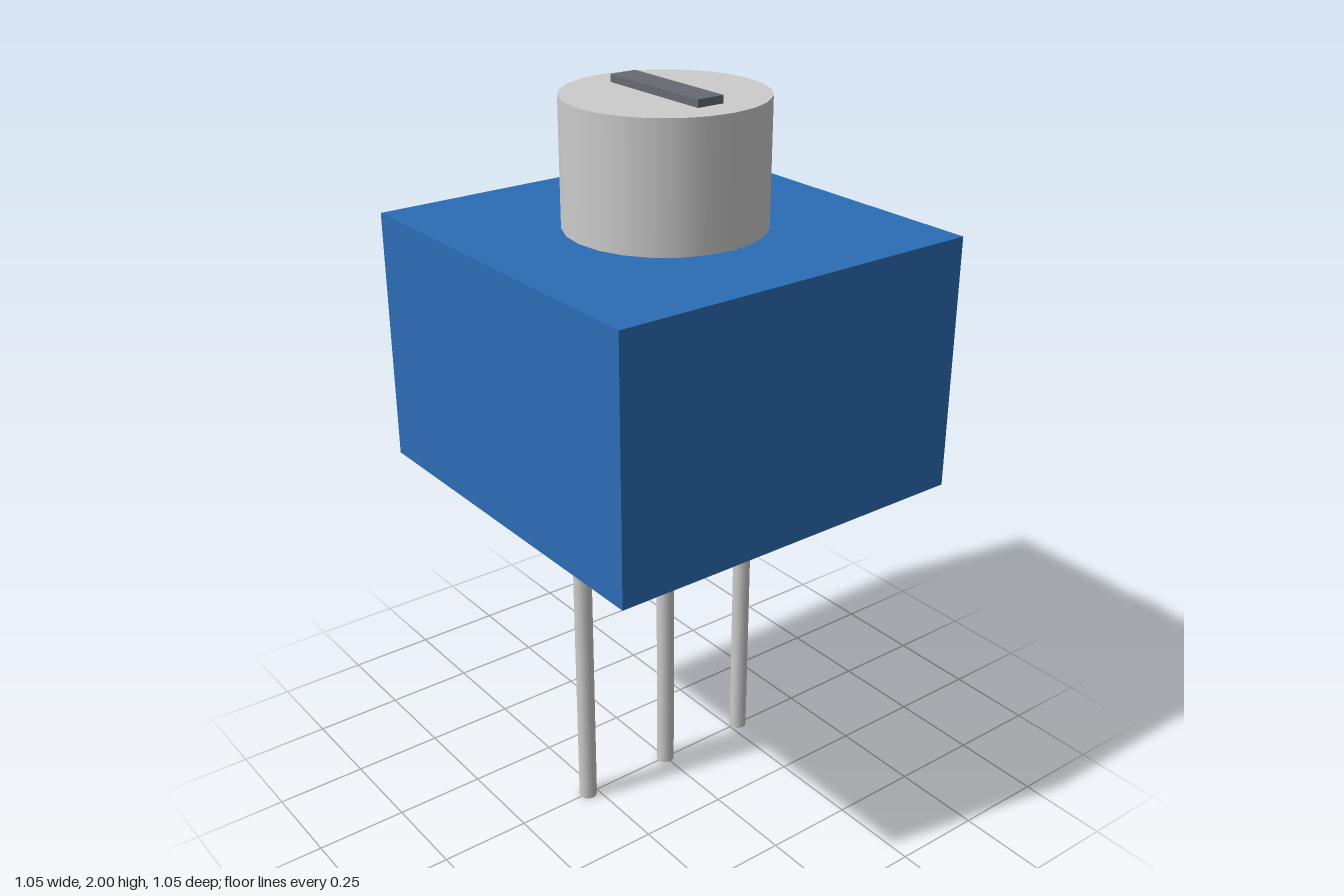
import * as THREE from 'three';

const BODY_BOTTOM = 0.963;
const BODY_TOP = 1.648;
const KNOB_TOP = 1.98;

export function createModel() {
  const model = new THREE.Group();
  const blue = new THREE.MeshStandardMaterial({ color: 0x2b6cb5 });
  const silver = new THREE.MeshStandardMaterial({ color: 0xcccccc });
  const dark = new THREE.MeshStandardMaterial({ color: 0x666a70 });

  // Adds a part whose base sits at height y
  const add = (name, geometry, material, height, y, x = 0) => {
    const mesh = new THREE.Mesh(geometry, material);
    mesh.name = name;
    mesh.position.set(x, y + height / 2, 0);
    model.add(mesh);
  };

  // Square housing
  const bodyHeight = BODY_TOP - BODY_BOTTOM;
  add('body', new THREE.BoxGeometry(1.046, bodyHeight, 1.046), blue, bodyHeight, BODY_BOTTOM);

  // Round adjusting knob with a raised bar running front to back
  const knobHeight = KNOB_TOP - BODY_TOP;
  add('knob', new THREE.CylinderGeometry(0.263, 0.263, knobHeight, 24), silver, knobHeight, BODY_TOP);
  add('knobBar', new THREE.BoxGeometry(0.077, 0.04, 0.35), dark, 0.04, 1.96);

  // Three round pins in a row
  const pin = new THREE.CylinderGeometry(0.025, 0.025, BODY_BOTTOM, 12);
  [['rightPin', -0.28], ['middlePin', 0], ['leftPin', 0.28]].forEach(([name, x]) =>
    add(name, pin, silver, BODY_BOTTOM, 0, x));

  return model;
}
